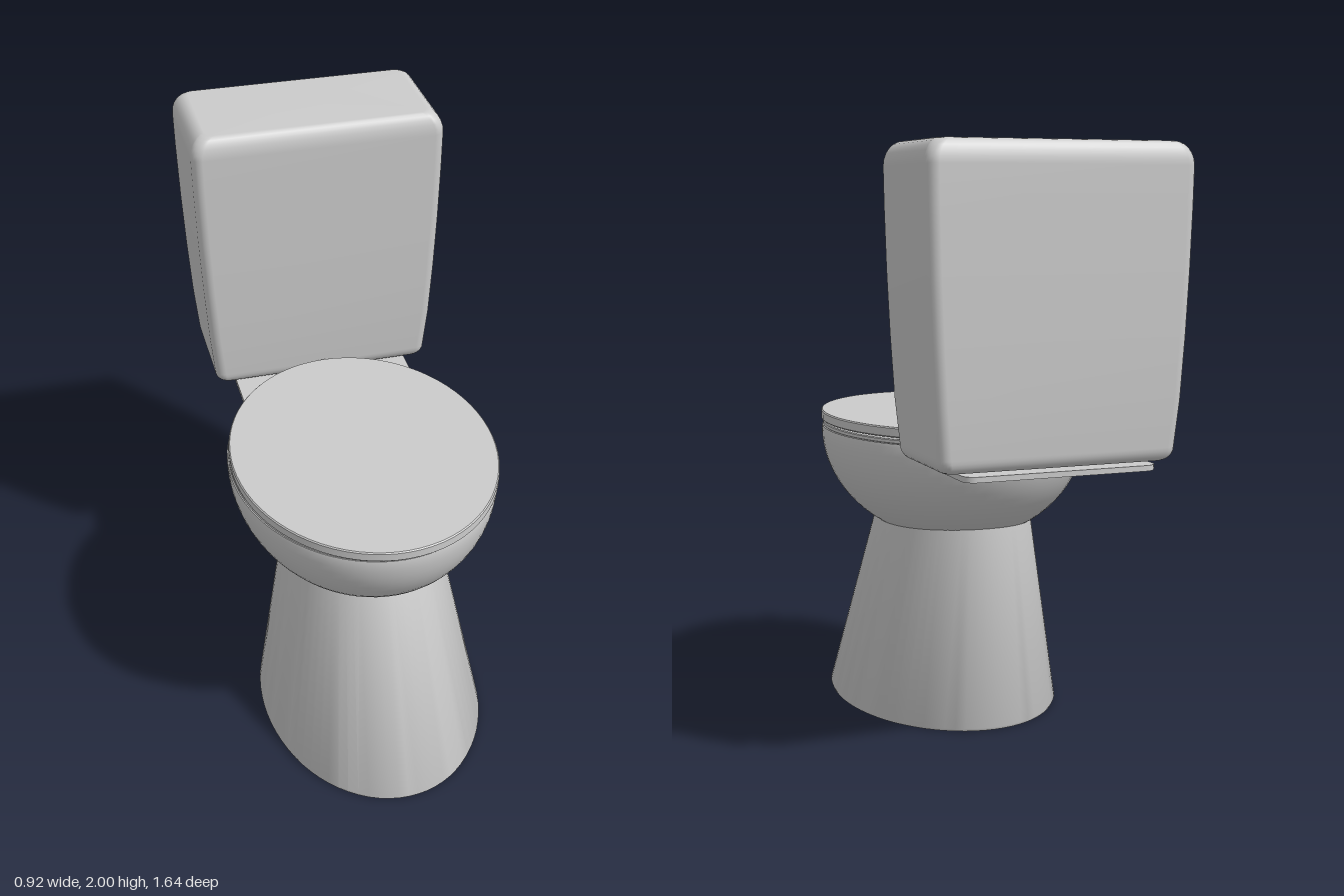
import * as THREE from 'three';
import { toCreasedNormals } from 'three/addons/utils/BufferGeometryUtils.js';

const material = new THREE.MeshStandardMaterial({ color: 0xcccccc });

// Outlines: point lists around a centre, for half sizes hx and hz
function ellipse(hx, hz, n = 72) {
  return Array.from({ length: n }, (_, i) => {
    const a = (i / n) * Math.PI * 2;
    return [hx * Math.cos(a), hz * Math.sin(a)];
  });
}

function roundedRect(backRadius, frontRadius = backRadius) {
  return (hx, hz) => {
    const points = [];
    for (let corner = 0; corner < 4; corner++) {
      const sx = corner === 0 || corner === 3 ? 1 : -1;
      const sz = corner < 2 ? 1 : -1;
      const r = Math.min(sz > 0 ? frontRadius : backRadius, hx, hz);
      for (let k = 0; k <= 6; k++) {
        const a = (corner + k / 6) * Math.PI / 2;
        points.push([sx * (hx - r) + r * Math.cos(a), sz * (hz - r) + r * Math.sin(a)]);
      }
    }
    return points;
  };
}

// Skins rows of [y, hx, hz, centreZ] from bottom to top and closes both ends
function loft(name, outline, rows, crease = 0.6) {
  const first = rows[0], last = rows[rows.length - 1];
  const all = [[first[0], 0, 0, first[3]], ...rows, [last[0], 0, 0, last[3]]];
  const positions = [], index = [];
  let n = 0;
  for (const [y, hx, hz, cz] of all) {
    const ring = outline(hx, hz);
    n = ring.length;
    for (const [x, z] of ring) positions.push(x, y, z + cz);
  }
  for (let i = 0; i < all.length - 1; i++) {
    for (let j = 0; j < n; j++) {
      const a = i * n + j, b = i * n + (j + 1) % n;
      const c = a + n, d = b + n;
      if (i > 0) index.push(a, c, b);
      if (i < all.length - 2) index.push(b, c, d);
    }
  }
  let geometry = new THREE.BufferGeometry();
  geometry.setAttribute('position', new THREE.Float32BufferAttribute(positions, 3));
  geometry.setIndex(index);
  geometry.computeVertexNormals();
  if (crease) geometry = toCreasedNormals(geometry, crease);
  const mesh = new THREE.Mesh(geometry, material);
  mesh.name = name;
  return mesh;
}

// Flaring foot, leaning forward towards the floor
function createPedestal() {
  const row = (y, inset = 0) => {
    const front = 0.826 - 0.45 * y, back = -0.273 + 0.09 * y;
    return [y, 0.403 - 0.192 * y - inset, (front - back) / 2 - inset, (front + back) / 2];
  };
  return loft('pedestal', ellipse, [row(0, 0.006), row(0.01), row(0.74)]);
}

// Lower half of an ellipsoid with a short straight rim
function createBowl() {
  const rows = [];
  for (let i = 1; i <= 20; i++) {
    const a = (i / 20) * Math.PI / 2;
    rows.push([1.005 - 0.4 * Math.cos(a), 0.46 * Math.sin(a), 0.565 * Math.sin(a), 0.157]);
  }
  rows.push([1.016, 0.458, 0.563, 0.157]);
  return loft('bowl', ellipse, rows);
}

// Thin oval slab with softened edges
function createOval(name, bottom, top, hx, hz, cz, bevel) {
  return loft(name, ellipse, [
    [bottom, hx - bevel, hz - bevel, cz],
    [bottom + bevel, hx, hz, cz],
    [top - bevel, hx, hz, cz],
    [top, hx - bevel, hz - bevel, cz],
  ]);
}

// Tank widening upwards, with rounded top and bottom edges
function createTank() {
  const rows = [];
  const cz = -0.6, steps = 6;
  for (let i = 0; i <= steps; i++) {
    const a = (i / steps) * Math.PI / 2;
    const s = 1 - Math.sin(a);
    rows.push([1.05 - 0.045 * Math.cos(a), 0.398 - 0.035 * s, 0.2 - 0.035 * s, cz]);
  }
  for (const [y, hx, hz] of [[1.2, 0.412, 0.209], [1.4, 0.424, 0.214], [1.6, 0.433, 0.217], [1.8, 0.439, 0.219]]) {
    rows.push([y, hx, hz, cz]);
  }
  for (let i = 0; i <= steps; i++) {
    const a = (i / steps) * Math.PI / 2;
    const s = 1 - Math.cos(a);
    rows.push([1.925 + 0.075 * Math.sin(a), 0.441 - 0.055 * s, 0.22 - 0.035 * s, cz]);
  }
  return loft('tank', roundedRect(0.035), rows, 0);
}

// Flat shelf joining the bowl to the tank, rounded at the back corners
function createShelf() {
  return loft('tankShelf', roundedRect(0.04, 0.002), [
    [0.983, 0.323, 0.277, -0.538],
    [1.001, 0.323, 0.277, -0.538],
  ]);
}

export function createModel() {
  const group = new THREE.Group();
  group.name = 'toilet';
  group.add(
    createPedestal(),
    createBowl(),
    createOval('seat', 1.016, 1.032, 0.455, 0.563, 0.158, 0.003),
    createOval('lid', 1.035, 1.07, 0.455, 0.564, 0.179, 0.004),
    createShelf(),
    createTank(),
  );
  return group;
}
